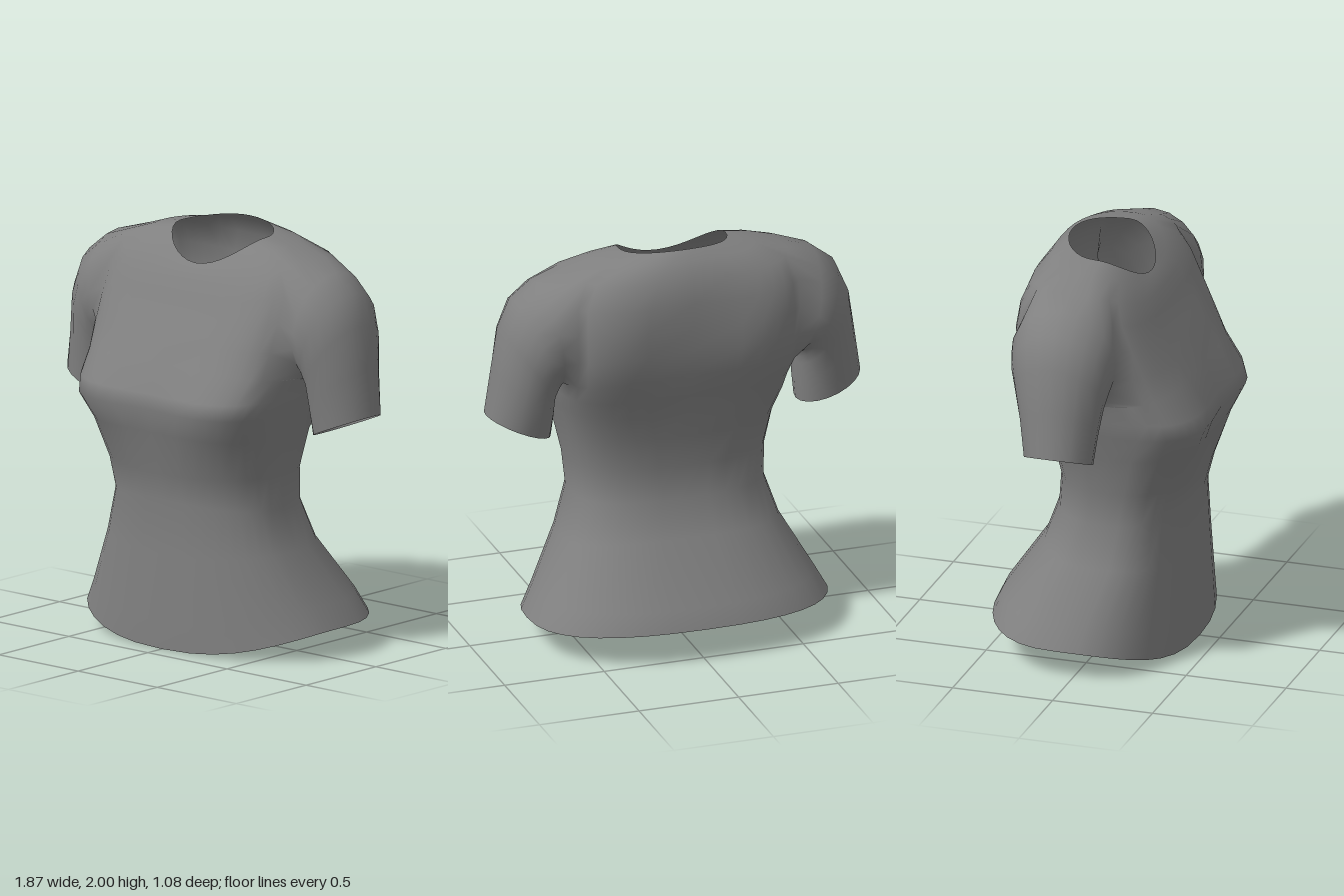
import * as THREE from 'three';

const COLS = 36, ARM_START = 6, ARM_END = 12, ARMPIT = 8, ARM_TOP = 12;

// Body rings, hem to neck:
// [yFront, ySide, yBack, halfWidth, zFront, zBack, squareness, frontDip, backDip]
const RINGS = [
  [0.00, 0.14, 0.165, 0.74, 0.40, -0.55, 2.4, 0, 0],
  [0.13, 0.25, 0.26, 0.68, 0.40, -0.505, 2.4, 0, 0],
  [0.46, 0.50, 0.54, 0.54, 0.39, -0.31, 2.5, 0, 0],
  [0.72, 0.70, 0.72, 0.475, 0.385, -0.245, 2.5, 0, 0],
  [0.86, 0.87, 0.88, 0.485, 0.42, -0.23, 2.6, 0, 0],
  [1.07, 1.06, 1.05, 0.52, 0.495, -0.265, 2.9, 0.02, 0],
  [1.19, 1.19, 1.18, 0.56, 0.55, -0.30, 3.4, 0.04, 0.01],
  [1.26, 1.27, 1.28, 0.575, 0.525, -0.335, 3.4, 0.03, 0.02],
  [1.40, 1.36, 1.40, 0.59, 0.43, -0.38, 3.6, 0.01, 0.03],
  [1.50, 1.50, 1.53, 0.595, 0.37, -0.405, 3.8, 0, 0.04],
  [1.60, 1.65, 1.65, 0.60, 0.31, -0.405, 3.8, 0, 0.04],
  [1.70, 1.79, 1.77, 0.60, 0.255, -0.385, 3.5, 0, 0.02],
  [1.77, 1.90, 1.88, 0.55, 0.22, -0.345, 3.0, 0, 0],
  [1.82, 1.95, 1.96, 0.40, 0.18, -0.29, 2.4, 0, 0],
  [1.84, 1.97, 2.00, 0.27, 0.16, -0.235, 2.0, 0, 0],
];

// Sleeve rings, shoulder to cuff: [xInner, yInner, xOuter, yOuter, zCentre, zHalf]
const SLEEVE = [
  [0.60, 1.34, 0.69, 1.86, -0.065, 0.26],
  [0.605, 1.31, 0.80, 1.775, -0.06, 0.245],
  [0.61, 1.27, 0.865, 1.63, -0.055, 0.22],
  [0.61, 1.18, 0.90, 1.42, -0.05, 0.19],
  [0.62, 1.07, 0.935, 1.20, -0.045, 0.165],
];

const signedPow = (v, p) => Math.sign(v) * Math.pow(Math.abs(v), p);

function ringPoint([yf, ys, yb, w, zf, zb, n, fd, bd], c) {
  const a = (c / COLS) * Math.PI * 2;
  const s = Math.sin(a), k = Math.cos(a);
  const x = w * signedPow(s, 2 / n);
  const dip = Math.exp(-((x / 0.22) ** 2)) * (k > 0 ? -fd : bd);
  const z = (zf + zb) / 2 + ((zf - zb) / 2) * signedPow(k, 2 / n) + dip * Math.abs(k);
  return [x, ys + ((k > 0 ? yf : yb) - ys) * k * k, z];
}

export function createModel() {
  const points = [];
  const addPoint = (p) => points.push(...p) / 3 - 1;
  const quad = (list, a, b, c, d) => list.push(a, b, c, a, c, d);

  // Body panels, leaving an armhole open on each side
  const body = [];
  RINGS.forEach((ring) => {
    for (let c = 0; c < COLS; c++) addPoint(ringPoint(ring, c));
  });
  const id = (r, c) => r * COLS + ((c + COLS) % COLS);
  for (let r = 0; r < RINGS.length - 1; r++) {
    for (let c = 0; c < COLS; c++) {
      const m = Math.min(c, COLS - 1 - c);
      if (r >= ARMPIT && r < ARM_TOP && m >= ARM_START && m < ARM_END) continue;
      quad(body, id(r, c), id(r, c + 1), id(r + 1, c + 1), id(r + 1, c));
    }
  }

  // Armhole edge: along the armpit, up the back, over the shoulder, down the front
  const edge = [];
  for (let c = ARM_START; c < ARM_END; c++) edge.push([ARMPIT, c]);
  for (let r = ARMPIT; r < ARM_TOP; r++) edge.push([r, ARM_END]);
  for (let c = ARM_END; c > ARM_START; c--) edge.push([ARM_TOP, c]);
  for (let r = ARM_TOP; r > ARMPIT; r--) edge.push([r, ARM_START]);

  // Sleeve grown from the armhole edge
  function buildSleeve(side) {
    const index = [];
    const count = edge.length;
    let previous = edge.map(([r, c]) => id(r, side * c));
    for (const [xi, yi, xo, yo, zc, zh] of SLEEVE) {
      const next = edge.map((_, i) => {
        const a = ((i - 3) / count) * Math.PI * 2;
        const t = (1 - Math.cos(a)) / 2;
        return addPoint([side * (xi + (xo - xi) * t), yi + (yo - yi) * t, zc - zh * Math.sin(a)]);
      });
      for (let i = 0; i < count; i++) {
        const j = (i + 1) % count;
        if (side > 0) quad(index, previous[i], previous[j], next[j], next[i]);
        else quad(index, previous[i], next[i], next[j], previous[j]);
      }
      previous = next;
    }
    return index;
  }
  const parts = { body, leftSleeve: buildSleeve(1), rightSleeve: buildSleeve(-1) };

  // Shared normals keep the shading smooth across the sleeve seams
  const whole = new THREE.BufferGeometry();
  whole.setAttribute('position', new THREE.Float32BufferAttribute(points, 3));
  whole.setIndex(Object.values(parts).flat());
  whole.computeVertexNormals();

  const fabric = new THREE.MeshStandardMaterial({ color: 0x808080, side: THREE.DoubleSide });
  fabric.name = 'grey fabric';

  const group = new THREE.Group();
  group.name = 'shirt';
  for (const [name, index] of Object.entries(parts)) {
    const geometry = new THREE.BufferGeometry();
    geometry.setAttribute('position', whole.getAttribute('position'));
    geometry.setAttribute('normal', whole.getAttribute('normal'));
    geometry.setIndex(index);
    const mesh = new THREE.Mesh(geometry, fabric);
    mesh.name = name;
    group.add(mesh);
  }
  return group;
}
